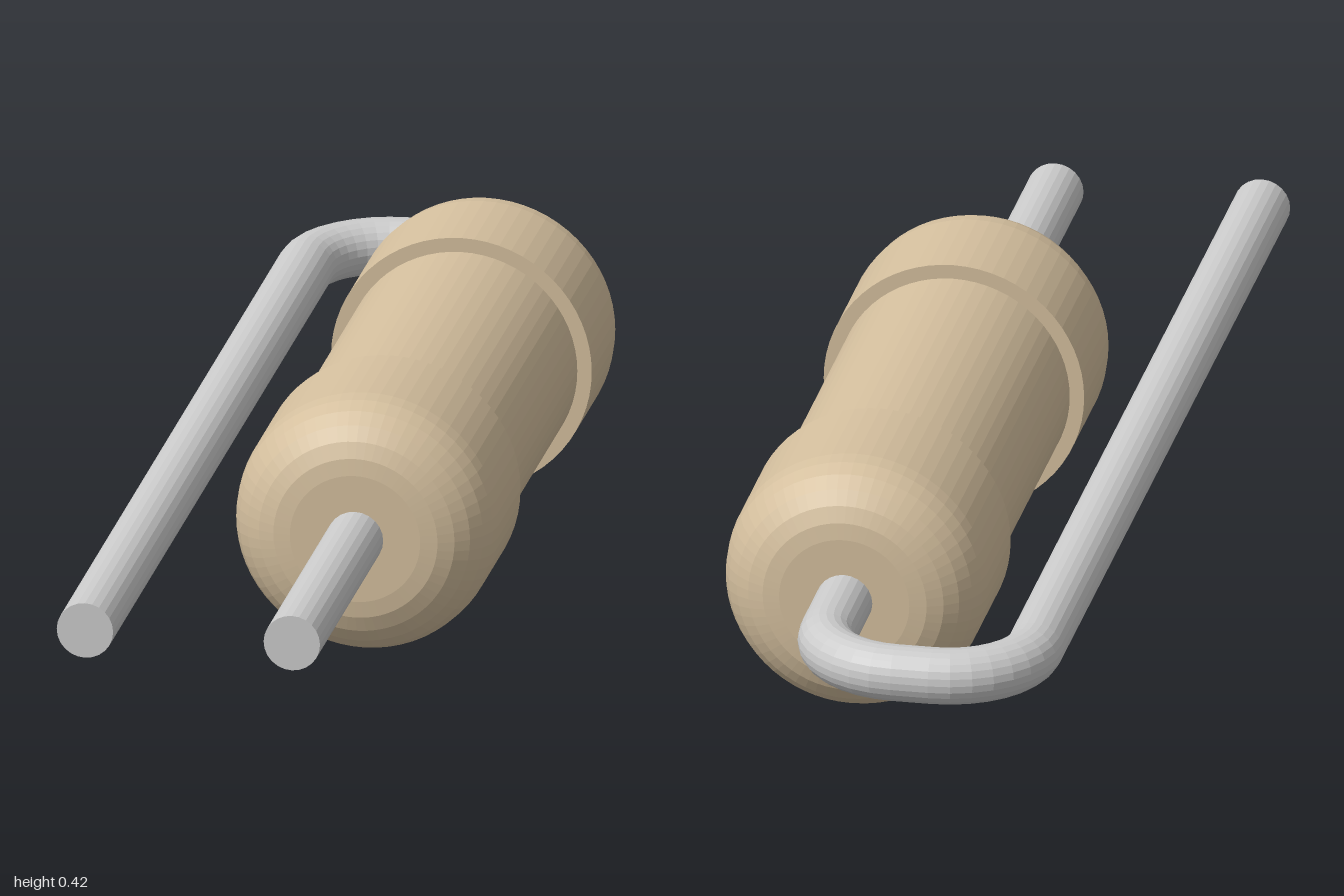
import * as THREE from 'three';

const X = 0.083, Y = 0.208;            // body axis
const X2 = -0.247;                     // axis of the returning lead
const R = 0.208, R_MID = 0.185, FILLET = 0.104;
const WIRE = 0.045, BEND = 0.135, Z_BEND = -0.82, Z_END = 1;

const ceramic = new THREE.MeshStandardMaterial({ color: 0xd4bf9e, flatShading: true });
const metal = new THREE.MeshStandardMaterial({ color: 0xcccccc, flatShading: true });

function add(group, name, geometry, material, x, z) {
  const mesh = new THREE.Mesh(geometry, material);
  mesh.name = name;
  mesh.position.set(x, Y, z);
  group.add(mesh);
}

// Round-ended cap: profile runs from the outer end face to the inner step
function capGeometry(length) {
  const points = [new THREE.Vector2(0, 0)];
  for (let i = 0; i <= 6; i++) {
    const a = (i / 6) * Math.PI / 2;
    points.push(new THREE.Vector2(R - FILLET + FILLET * Math.sin(a), FILLET * (1 - Math.cos(a))));
  }
  points.push(new THREE.Vector2(R, length), new THREE.Vector2(R_MID - 0.005, length));
  return new THREE.LatheGeometry(points, 64).rotateX(Math.PI / 2);
}

// Straight lead running along z
function straight(group, name, x, z0, z1) {
  const g = new THREE.CylinderGeometry(WIRE, WIRE, z1 - z0, 24).rotateX(Math.PI / 2);
  add(group, name, g, metal, x, (z0 + z1) / 2);
}

// Quarter bend lying in the horizontal plane
function bend(group, name, x, turn) {
  const g = new THREE.TorusGeometry(BEND, WIRE, 24, 8, Math.PI / 2).rotateZ(turn).rotateX(-Math.PI / 2);
  add(group, name, g, metal, x, Z_BEND);
}

export function createModel() {
  const model = new THREE.Group();
  model.name = 'resistor';

  // Body: two rounded caps and a narrower barrel
  const back = -0.69, front = 0.478, capLength = 0.29;
  const body = new THREE.Group();
  body.name = 'body';
  add(body, 'backCap', capGeometry(capLength), ceramic, X, back);
  add(body, 'frontCap', capGeometry(capLength).rotateY(Math.PI), ceramic, X, front);
  const barrel = new THREE.CylinderGeometry(R_MID, R_MID, front - back - 2 * capLength, 64, 1, true).rotateX(Math.PI / 2);
  add(body, 'barrel', barrel, ceramic, X, (front + back) / 2);
  model.add(body);

  // Leads: one straight out the front, one hooked round from the back
  const leads = new THREE.Group();
  leads.name = 'leads';
  straight(leads, 'frontLead', X, front - 0.02, Z_END);
  straight(leads, 'backLead', X, Z_BEND, back + 0.02);
  bend(leads, 'innerBend', X - BEND, 0);
  const bridge = new THREE.CylinderGeometry(WIRE, WIRE, X - X2 - 2 * BEND, 24).rotateZ(Math.PI / 2);
  add(leads, 'bridge', bridge, metal, (X + X2) / 2, Z_BEND - BEND);
  bend(leads, 'outerBend', X2 + BEND, Math.PI / 2);
  straight(leads, 'returnLead', X2, Z_BEND, Z_END);
  model.add(leads);

  return model;
}
